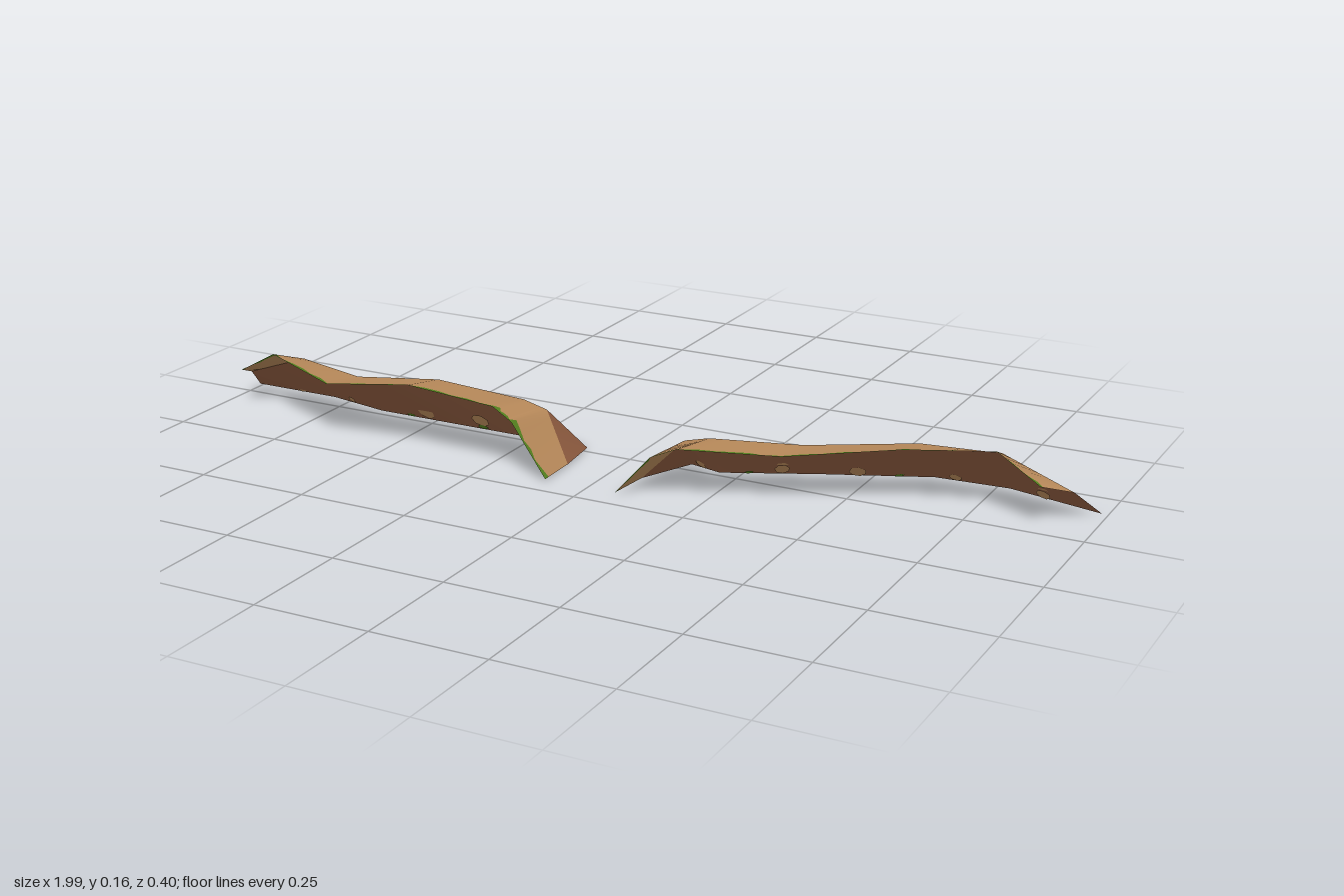
import * as THREE from 'three';

const material = (name, color) =>
  Object.assign(new THREE.MeshStandardMaterial({ color, side: THREE.DoubleSide }), { name });

// Each section runs from the raised lip over the shoulder to the ground: [x, y, z] three times.
const leftBank = [
  [[-0.94, 0.09, 0.105], [-0.97, 0.06, 0.03], [-1, 0.005, -0.04]],
  [[-0.85, 0.14, 0.105], [-0.82, 0.113, 0.03], [-0.79, 0.005, -0.04]],
  [[-0.64, 0.13, 0.2], [-0.64, 0.112, 0.08], [-0.64, 0.005, -0.01]],
  [[-0.43, 0.16, 0.2], [-0.43, 0.137, 0.078], [-0.43, 0.005, -0.01]],
  [[-0.22, 0.145, 0.2], [-0.22, 0.122, 0.07], [-0.22, 0.005, -0.01]],
  [[-0.175, 0.118, 0.2], [-0.175, 0.1, 0.05], [-0.145, 0, -0.035]],
  [[-0.095, 0.005, 0.2], [-0.097, 0.005, 0.1], [-0.11, 0.005, -0.01]],
];
const rightBank = [
  [[0.07, 0.005, 0.2], [0.08, 0.005, 0.1], [0.09, 0.005, 0]],
  [[0.15, 0.095, 0.2], [0.155, 0.085, 0.05], [0.13, 0, -0.035]],
  [[0.21, 0.122, 0.2], [0.22, 0.107, 0.07], [0.21, 0.005, -0.005]],
  [[0.4, 0.11, 0.11], [0.4, 0.1, 0], [0.4, 0.005, -0.095]],
  [[0.62, 0.13, 0.01], [0.62, 0.112, -0.09], [0.62, 0.005, -0.19]],
  [[0.8, 0.14, -0.042], [0.785, 0.107, -0.125], [0.78, 0.005, -0.2]],
  [[0.9, 0.09, -0.02], [0.95, 0.065, -0.085], [0.99, 0.005, -0.15]],
];

// Smooth strip between two matching rows of points
function strip(upper, lower) {
  const g = new THREE.BufferGeometry();
  const points = upper.flatMap((p, i) => [p, lower[i]]);
  const index = [];
  for (let i = 0; i < upper.length - 1; i++) {
    const a = 2 * i;
    index.push(a, a + 2, a + 3, a, a + 3, a + 1);
  }
  g.setFromPoints(points);
  g.setIndex(index);
  g.computeVertexNormals();
  return g;
}

export function createModel() {
  const tan = material('tanEarth', 0xba8b5b);
  const brown = material('brownEarth', 0x8f5c40);
  const green = material('mossGreen', 0x55821f);
  const root = new THREE.Group();
  root.name = 'earthBanks';

  function bank(name, sections, spots, seed) {
    const group = new THREE.Group();
    group.name = name;
    root.add(group);
    const add = (part, geometry, mat) => {
      const mesh = new THREE.Mesh(geometry, mat);
      mesh.name = part;
      group.add(mesh);
    };
    const [lip, shoulder, foot] = [0, 1, 2].map(k => sections.map(s => new THREE.Vector3(...s[k])));
    // Subdivide a row along the length
    const steps = 6;
    const fine = row => {
      const out = [];
      for (let j = 0; j <= (row.length - 1) * steps; j++) {
        const i = Math.min(Math.floor(j / steps), row.length - 2);
        out.push(row[i].clone().lerp(row[i + 1], j / steps - i));
      }
      return out;
    };
    const top = fine(lip), mid = fine(shoulder);

    // Ragged mossy rim along the lip
    const rim = top.map((p, j) =>
      p.clone().lerp(mid[j], 0.085 + 0.045 * Math.sin(j * 2.3 + seed) + 0.03 * Math.sin(j * 5.1)));
    add('mossRim', strip(top, rim), green);
    add('upperSlope', strip(rim, mid), tan);
    add('lowerSlope', strip(shoulder, foot), brown);

    // Pebble and moss spots, shown on both faces of the lower slope
    spots.forEach(([at, down, size, isMoss], n) => {
      const i = Math.floor(at), t = at - i;
      const a = shoulder[i].clone().lerp(shoulder[i + 1], t);
      const b = foot[i].clone().lerp(foot[i + 1], t);
      const along = foot[i + 1].clone().sub(foot[i]).normalize();
      const fall = b.clone().sub(a).normalize();
      const normal = fall.clone().cross(along).normalize();
      along.copy(normal).cross(fall).normalize();
      for (const side of [1, -1]) {
        const g = new THREE.CircleGeometry(size, 7);
        g.scale(1, isMoss ? 0.5 : 0.9, 1);
        g.rotateZ(isMoss ? 0 : n);
        g.applyMatrix4(new THREE.Matrix4().makeBasis(along, fall.clone().negate(), normal));
        const c = a.clone().lerp(b, down).addScaledVector(normal, 0.0025 * side);
        g.translate(c.x, c.y, c.z);
        add(isMoss ? 'mossSpot' : 'pebbleSpot', g, isMoss ? green : tan);
      }
    });
  }

  // Spots: position along sections, position down the slope, size, moss or pebble
  bank('rightBank', leftBank, [
    [0.6, 0.87, 0.014], [1.45, 0.88, 0.011], [2.62, 0.82, 0.022], [3.3, 0.78, 0.022],
    [3.3, 0.93, 0.014, true], [2.4, 0.94, 0.011, true], [4.5, 0.9, 0.01],
  ], 1);
  bank('leftBank', rightBank, [
    [1.4, 0.85, 0.014], [2.65, 0.82, 0.018], [3.35, 0.85, 0.02], [4.3, 0.88, 0.014],
    [5.4, 0.84, 0.018], [3.7, 0.94, 0.011, true], [2.3, 0.94, 0.01, true],
  ], 3);
  return root;
}
